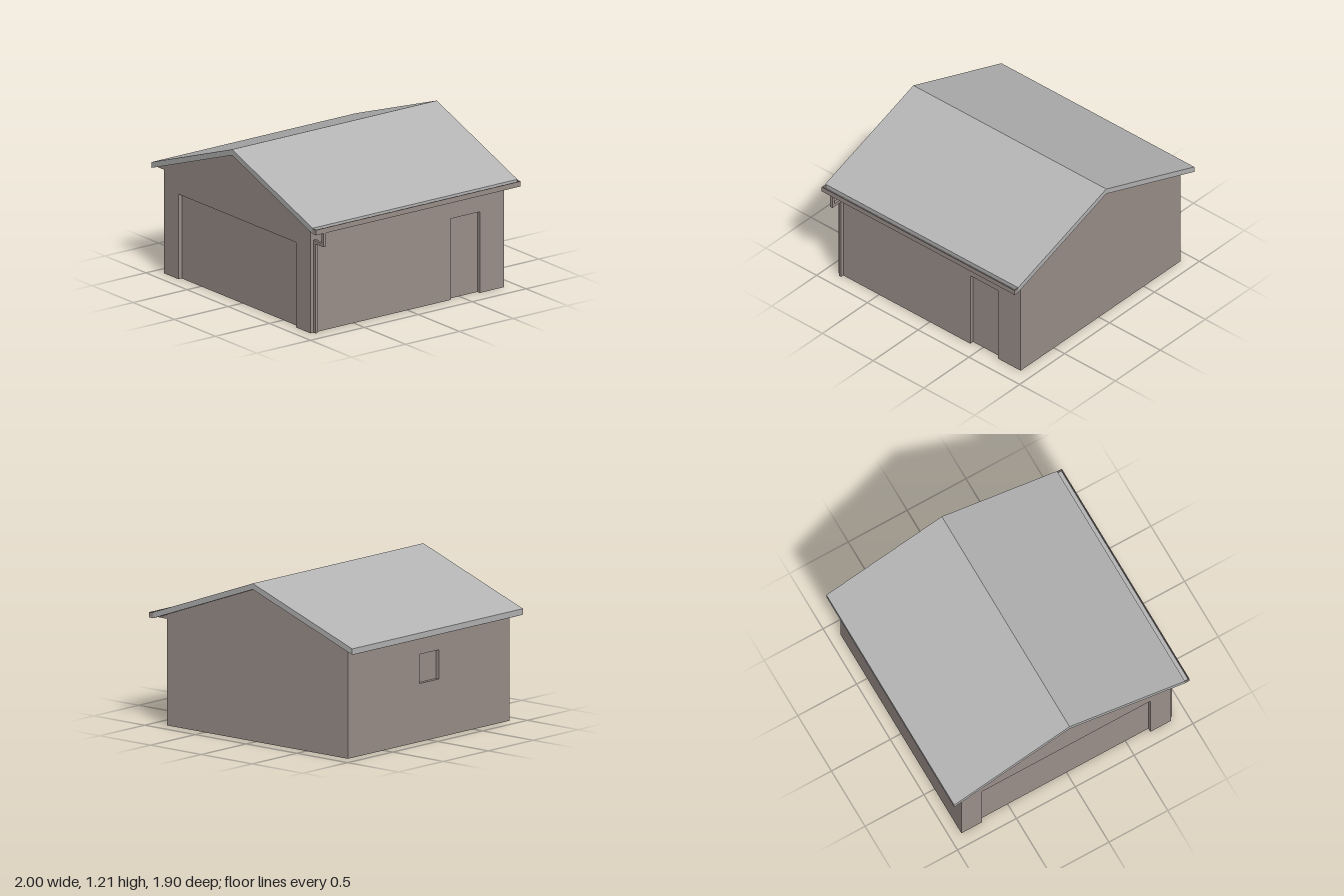
import * as THREE from 'three';

const RIDGE = -0.02, LEFT = -0.91, RIGHT = 0.87, FRONT = 0.9, BACK = -0.895;
const EAVE = 0.805, PEAK = 1.16, HALF = 0.98, THICK = 0.045, RECESS = 0.03;
const underside = (x) => PEAK - ((PEAK - EAVE) / HALF) * Math.abs(x - RIDGE);

export function createModel() {
  const model = new THREE.Group();
  const wallMat = new THREE.MeshStandardMaterial({ color: 0x9c908a, side: THREE.DoubleSide });
  wallMat.name = 'taupe wall';
  const roofMat = new THREE.MeshStandardMaterial({ color: 0xb4b4b4, side: THREE.DoubleSide });
  roofMat.name = 'grey roof';

  const add = (parent, name, geometry, material, x = 0, y = 0, z = 0) => {
    const mesh = new THREE.Mesh(geometry, material);
    mesh.name = name;
    mesh.position.set(x, y, z);
    parent.add(mesh);
    return mesh;
  };
  const box = (parent, name, material, x0, x1, y0, y1, z0, z1) =>
    add(parent, name, new THREE.BoxGeometry(x1 - x0, y1 - y0, z1 - z0), material,
      (x0 + x1) / 2, (y0 + y1) / 2, (z0 + z1) / 2);
  const outline = (points) => new THREE.Shape(points.map(([x, y]) => new THREE.Vector2(x, y)));

  // A thin wall facing local +z, with an optional recessed opening [u0, u1, v0, v1]
  function wall(name, top, opening, panelName) {
    const group = new THREE.Group();
    group.name = name;
    const u0 = top[0][0], u1 = top[top.length - 1][0];
    const points = [[u0, 0], ...top, [u1, 0]];
    if (opening) {
      const [a, b, c, d] = opening;
      const rect = [[a, c], [a, d], [b, d], [b, c]];
      const onGround = c === 0;
      if (onGround) points.push(...rect.slice().reverse());
      const shape = outline(points);
      if (!onGround) shape.holes.push(new THREE.Path(rect.map((p) => new THREE.Vector2(...p))));
      add(group, name + 'Face', new THREE.ShapeGeometry(shape), wallMat);
      add(group, panelName, new THREE.PlaneGeometry(b - a, d - c), wallMat, (a + b) / 2, (c + d) / 2, -RECESS);
      // Reveals around the opening
      [[a, 1], [b, -1]].forEach(([u, side]) => {
        add(group, 'jamb', new THREE.PlaneGeometry(RECESS, d - c), wallMat, u, (c + d) / 2, -RECESS / 2)
          .rotation.y = side * Math.PI / 2;
      });
      const levels = onGround ? [[d, 1]] : [[d, 1], [c, -1]];
      levels.forEach(([v, side]) => {
        add(group, side > 0 ? 'lintel' : 'sill', new THREE.PlaneGeometry(b - a, RECESS), wallMat,
          (a + b) / 2, v, -RECESS / 2).rotation.x = side * Math.PI / 2;
      });
    } else {
      add(group, name + 'Face', new THREE.ShapeGeometry(outline(points)), wallMat);
    }
    model.add(group);
    return group;
  }

  // Gable walls
  const gable = [[LEFT, underside(LEFT)], [RIDGE, PEAK], [RIGHT, underside(RIGHT)]];
  wall('frontWall', gable, [-0.735, 0.695, 0, 0.66], 'garageDoor').position.z = FRONT;
  const back = wall('backWall', gable.map(([x, y]) => [-x, y]).reverse());
  back.position.z = BACK;
  back.rotation.y = Math.PI;

  // Side walls
  const right = wall('rightWall', [[-FRONT, underside(RIGHT)], [-BACK, underside(RIGHT)]],
    [0.4, 0.67, 0, 0.63], 'sideDoor');
  right.position.x = RIGHT;
  right.rotation.y = Math.PI / 2;
  const left = wall('leftWall', [[BACK, underside(LEFT)], [FRONT, underside(LEFT)]],
    [-0.1, 0.12, 0.44, 0.66], 'window');
  left.position.x = LEFT;
  left.rotation.y = -Math.PI / 2;

  // Roof slab with both slopes
  const roofEnd = RIDGE + HALF, roofStart = RIDGE - HALF;
  const roof = new THREE.ExtrudeGeometry(outline([
    [roofStart, EAVE], [RIDGE, PEAK], [roofEnd, EAVE],
    [roofEnd, EAVE + THICK], [RIDGE, PEAK + THICK], [roofStart, EAVE + THICK],
  ]), { depth: 1.9, bevelEnabled: false });
  add(model, 'roof', roof, roofMat, 0, 0, -0.95);

  // Boxed soffits between the walls and the eaves
  [[LEFT, roofStart], [RIGHT, roofEnd]].forEach(([x, eave]) => {
    const soffit = new THREE.ExtrudeGeometry(
      outline([[x, EAVE - 0.001], [eave, EAVE - 0.001], [x, underside(x) - 0.001]]),
      { depth: FRONT - BACK, bevelEnabled: false });
    add(model, 'soffit', soffit, wallMat, 0, 0, BACK);
  });

  // Gutter along the right eave
  box(model, 'gutterFront', wallMat, 0.994, 1, EAVE, 0.845, -0.95, 0.95);
  box(model, 'gutterFloor', wallMat, 0.96, 0.994, EAVE, 0.81, -0.95, 0.95);
  box(model, 'gutterLining', roofMat, 0.96, 0.994, 0.81, 0.815, -0.95, 0.95);
  [-0.95, 0.945].forEach((z) => box(model, 'gutterEnd', wallMat, 0.96, 0.994, 0.815, 0.845, z, z + 0.005));

  // Downspout in three runs
  const spout = new THREE.Group();
  spout.name = 'downspout';
  model.add(spout);
  box(spout, 'upperPipe', wallMat, 0.968, 0.992, 0.72, EAVE, 0.852, 0.874);
  box(spout, 'crossPipe', wallMat, RIGHT, 0.992, 0.695, 0.72, 0.852, 0.874);
  box(spout, 'lowerPipe', wallMat, RIGHT, 0.894, 0, 0.695, 0.852, 0.874);

  return model;
}
